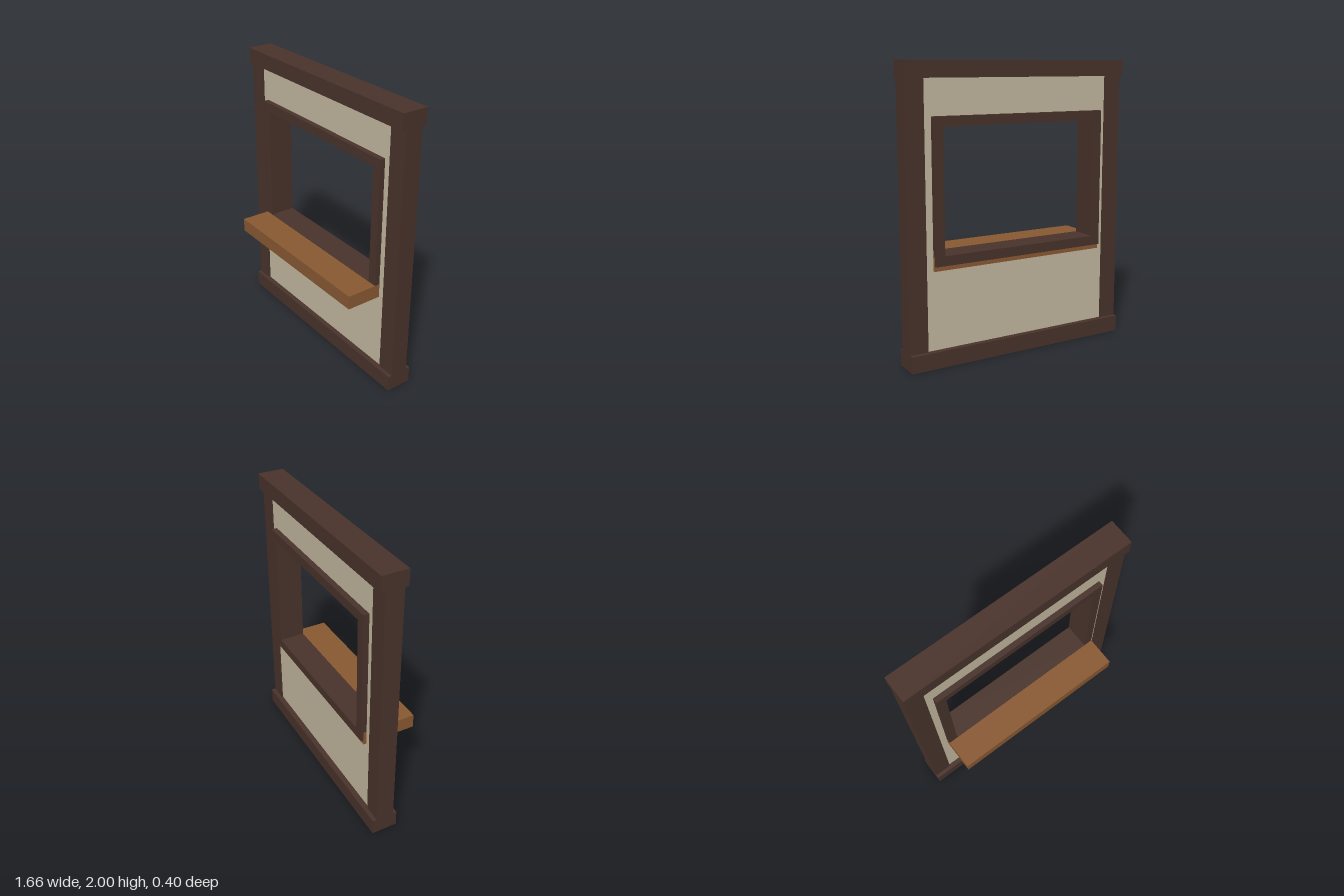
import * as THREE from 'three';

const darkWood = new THREE.MeshStandardMaterial({ name: 'darkWood', color: 0x4a342c });
const shelfWood = new THREE.MeshStandardMaterial({ name: 'shelfWood', color: 0x8b5a33 });
const plaster = new THREE.MeshStandardMaterial({ name: 'plaster', color: 0xc6bba2 });

// Box given by its [min, max] range on each axis
function box(name, material, [x0, x1], [y0, y1], [z0, z1]) {
  const mesh = new THREE.Mesh(new THREE.BoxGeometry(x1 - x0, y1 - y0, z1 - z0), material);
  mesh.position.set((x0 + x1) / 2, (y0 + y1) / 2, (z0 + z1) / 2);
  mesh.name = name;
  return mesh;
}

// Rectangular slab with a rectangular opening, both centred on x = 0
function ring(name, material, outer, inner, [z0, z1]) {
  const corners = ([w, y0, y1]) => [[-w, y0], [w, y0], [w, y1], [-w, y1]].map(p => new THREE.Vector2(...p));
  const shape = new THREE.Shape(corners(outer));
  shape.holes.push(new THREE.Path(corners(inner).reverse()));
  const geometry = new THREE.ExtrudeGeometry(shape, { depth: z1 - z0, bevelEnabled: false });
  geometry.translate(0, 0, z0);
  const mesh = new THREE.Mesh(geometry, material);
  mesh.name = name;
  return mesh;
}

export function createModel() {
  const group = new THREE.Group();
  group.name = 'wallWithServingWindow';
  const beamDepth = [-0.2, -0.015];

  // Top and bottom beams
  group.add(box('bottomBeam', darkWood, [-0.83, 0.83], [0, 0.115], beamDepth));
  group.add(box('topBeam', darkWood, [-0.83, 0.83], [1.89, 2], beamDepth));

  // Side posts
  group.add(box('rightPost', darkWood, [-0.83, -0.7], [0.115, 1.89], [-0.17, -0.042]));
  group.add(box('leftPost', darkWood, [0.7, 0.83], [0.115, 1.89], [-0.17, -0.042]));

  // Wall panel, with its opening hidden inside the window frame
  group.add(ring('wallPanel', plaster, [0.7, 0.115, 1.89], [0.62, 0.72, 1.62], [-0.16, -0.052]));

  // Window frame; its sill lies just proud of the counter top
  group.add(ring('windowFrame', darkWood, [0.649, 0.688, 1.652], [0.583, 0.755, 1.586], beamDepth));

  // Counter shelf through the opening
  group.add(box('counterShelf', shelfWood, [-0.65, 0.65], [0.655, 0.753], [-0.182, 0.2]));

  return group;
}
